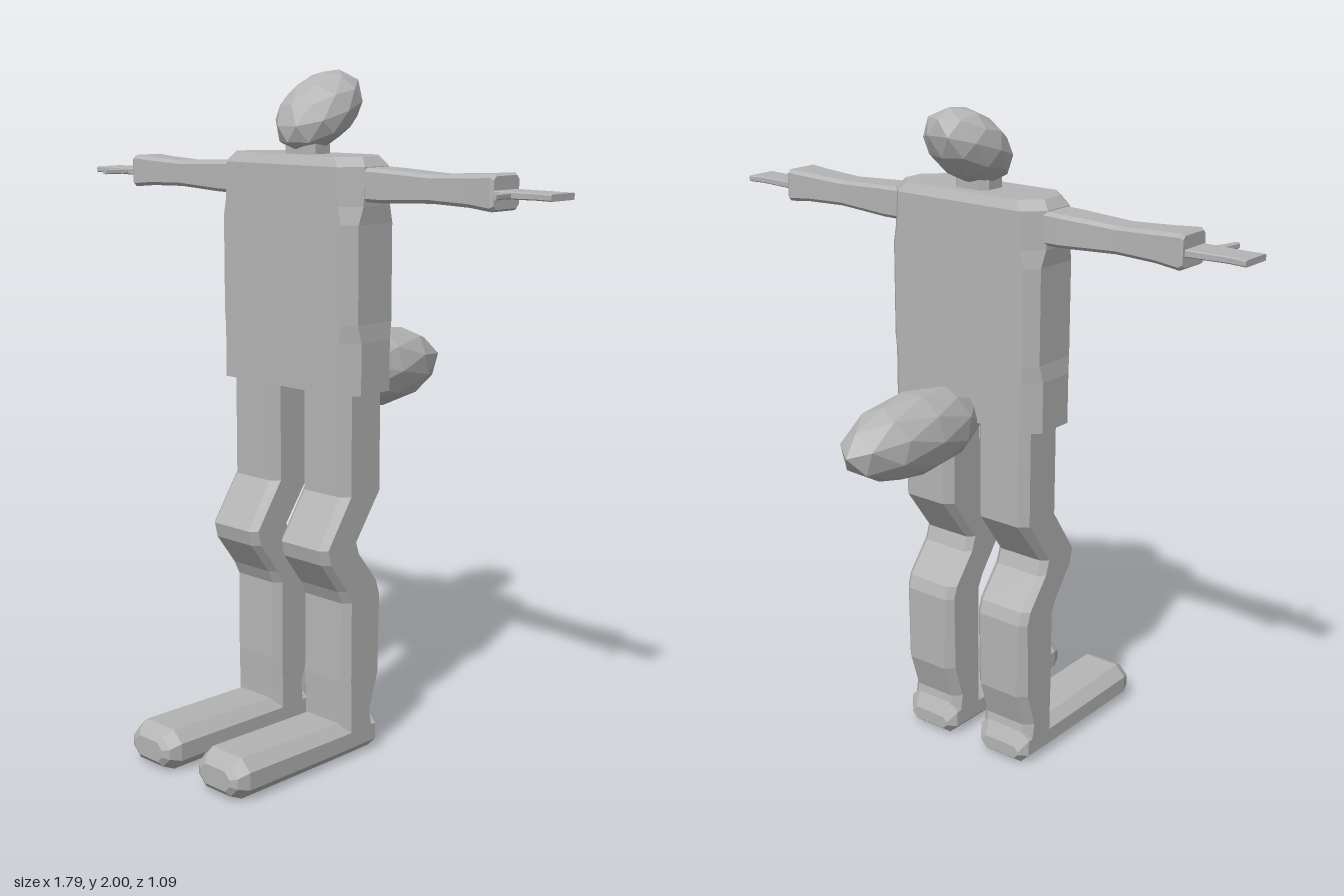
import * as THREE from 'three';

const clay = new THREE.MeshStandardMaterial({ color: 0xb4b4b4 });
clay.name = 'grey clay';

// Chamfered box lofted along one axis through sections
// [position, uMin, uMax, vMin, vMax, chamfer]; (axis, u, v) run cyclically through x, y, z.
function loft(axis, sections) {
  const rings = [...sections].sort((p, q) => p[0] - q[0]).map(([a, u0, u1, v0, v1, c]) =>
    [[u0 + c, v0], [u1 - c, v0], [u1, v0 + c], [u1, v1 - c],
      [u1 - c, v1], [u0 + c, v1], [u0, v1 - c], [u0, v0 + c]].map(([u, v]) => {
      const p = [0, 0, 0];
      p[axis] = a;
      p[(axis + 1) % 3] = u;
      p[(axis + 2) % 3] = v;
      return p;
    }));
  const pos = [];
  for (let k = 0; k < rings.length - 1; k++) {
    for (let i = 0; i < 8; i++) {
      const j = (i + 1) % 8, lo = rings[k], hi = rings[k + 1];
      pos.push(...lo[i], ...lo[j], ...hi[j], ...lo[i], ...hi[j], ...hi[i]);
    }
  }
  const first = rings[0], last = rings[rings.length - 1];
  for (let i = 1; i < 7; i++) {
    pos.push(...first[0], ...first[i + 1], ...first[i]);
    pos.push(...last[0], ...last[i], ...last[i + 1]);
  }
  const geo = new THREE.BufferGeometry();
  geo.setAttribute('position', new THREE.Float32BufferAttribute(pos, 3));
  geo.computeVertexNormals();
  return geo;
}

// Faceted ellipsoid with a vertex on its long z axis
function egg(rx, ry, rz) {
  return new THREE.IcosahedronGeometry(1, 1).rotateX(Math.atan(0.618)).scale(rx, ry, rz)
    .toNonIndexed();
}

export function createModel() {
  const model = new THREE.Group();
  model.name = 'figure';
  const add = (name, geo, parent = model) => {
    geo.computeVertexNormals();
    const mesh = new THREE.Mesh(geo, clay);
    mesh.name = name;
    parent.add(mesh);
    return mesh;
  };

  // Body: sections run upwards, u = z, v = x
  add('torso', loft(1, [
    [1.1, -0.075, 0.135, -0.278, 0.272, 0.045],
    [1.25, -0.075, 0.135, -0.278, 0.272, 0.045],
    [1.3, -0.075, 0.135, -0.272, 0.268, 0.035],
    [1.58, -0.075, 0.135, -0.272, 0.268, 0.035],
    [1.63, -0.075, 0.135, -0.278, 0.272, 0.05],
    [1.738, -0.075, 0.135, -0.278, 0.272, 0.055],
    [1.765, -0.06, 0.12, -0.255, 0.25, 0.055],
  ]));
  add('neck', loft(1, [
    [1.75, -0.025, 0.075, -0.06, 0.06, 0.02],
    [1.84, -0.025, 0.075, -0.06, 0.06, 0.02],
  ]));
  const head = add('head', egg(0.117, 0.093, 0.157));
  head.position.set(0, 1.885, -0.022);
  head.rotation.x = THREE.MathUtils.degToRad(34);
  add('tail', egg(0.12, 0.122, 0.275)).position.set(0, 1.105, -0.27);

  for (const side of [1, -1]) {
    const label = side > 0 ? 'left' : 'right';

    // Leg with a bent knee: u = z, v = x
    const leg = new THREE.Group();
    leg.name = label + 'Leg';
    leg.position.x = side * 0.143;
    model.add(leg);
    const w = 0.094;
    add('legColumn', loft(1, [
      [0.03, -0.035, 0.11, -w, w, 0.025],
      [0.13, -0.018, 0.11, -w, w, 0.025],
      [0.24, -0.053, 0.112, -w, w, 0.025],
      [0.48, -0.053, 0.106, -w, w, 0.02],
      [0.52, -0.04, 0.125, -w, w, 0.02],
      [0.615, 0.035, 0.195, -w, w, 0.02],
      [0.66, 0.05, 0.205, -w, w, 0.02],
      [0.8, -0.055, 0.115, -w, w, 0.025],
      [1.12, -0.055, 0.115, -w, w, 0.025],
    ]), leg);
    // Foot runs forwards: u = x, v = y
    add('foot', loft(2, [
      [-0.045, -0.07, 0.07, 0.02, 0.06, 0.015],
      [-0.02, -w, w, 0, 0.11, 0.03],
      [0.11, -w, w, 0, 0.108, 0.03],
      [0.5, -w, w, 0, 0.122, 0.035],
      [0.535, -0.08, 0.08, 0.015, 0.105, 0.03],
      [0.547, -0.06, 0.06, 0.03, 0.09, 0.02],
    ]), leg);

    // Arm runs sideways: u = y, v = z
    const arm = new THREE.Group();
    arm.name = label + 'Arm';
    model.add(arm);
    add('armShaft', loft(0, [
      [0.24, 1.642, 1.737, -0.03, 0.083, 0.01],
      [0.32, 1.642, 1.735, -0.03, 0.081, 0.01],
      [0.5, 1.65, 1.727, -0.021, 0.073, 0.01],
      [0.63, 1.647, 1.733, -0.028, 0.079, 0.01],
      [0.705, 1.64, 1.738, -0.034, 0.084, 0.01],
      [0.715, 1.646, 1.732, -0.028, 0.079, 0.01],
    ].map(([x, ...rest]) => [side * x, ...rest])), arm);
    add('hand', loft(0, [
      [0.7, 1.675, 1.696, -0.02, 0.08, 0.003],
      [0.84, 1.677, 1.696, -0.014, 0.074, 0.003],
      [0.895, 1.677, 1.695, -0.02, 0.08, 0.003],
    ].map(([x, ...rest]) => [side * x, ...rest])), arm);
    add('thumb', loft(2, [[0.06, 0.75, 0.016], [0.1, 0.76, 0.011], [0.15, 0.77, 0.008]]
      .map(([z, x, r]) => [z, side * x - r, side * x + r, 1.678, 1.694, 0.003])), arm);
  }
  return model;
}
